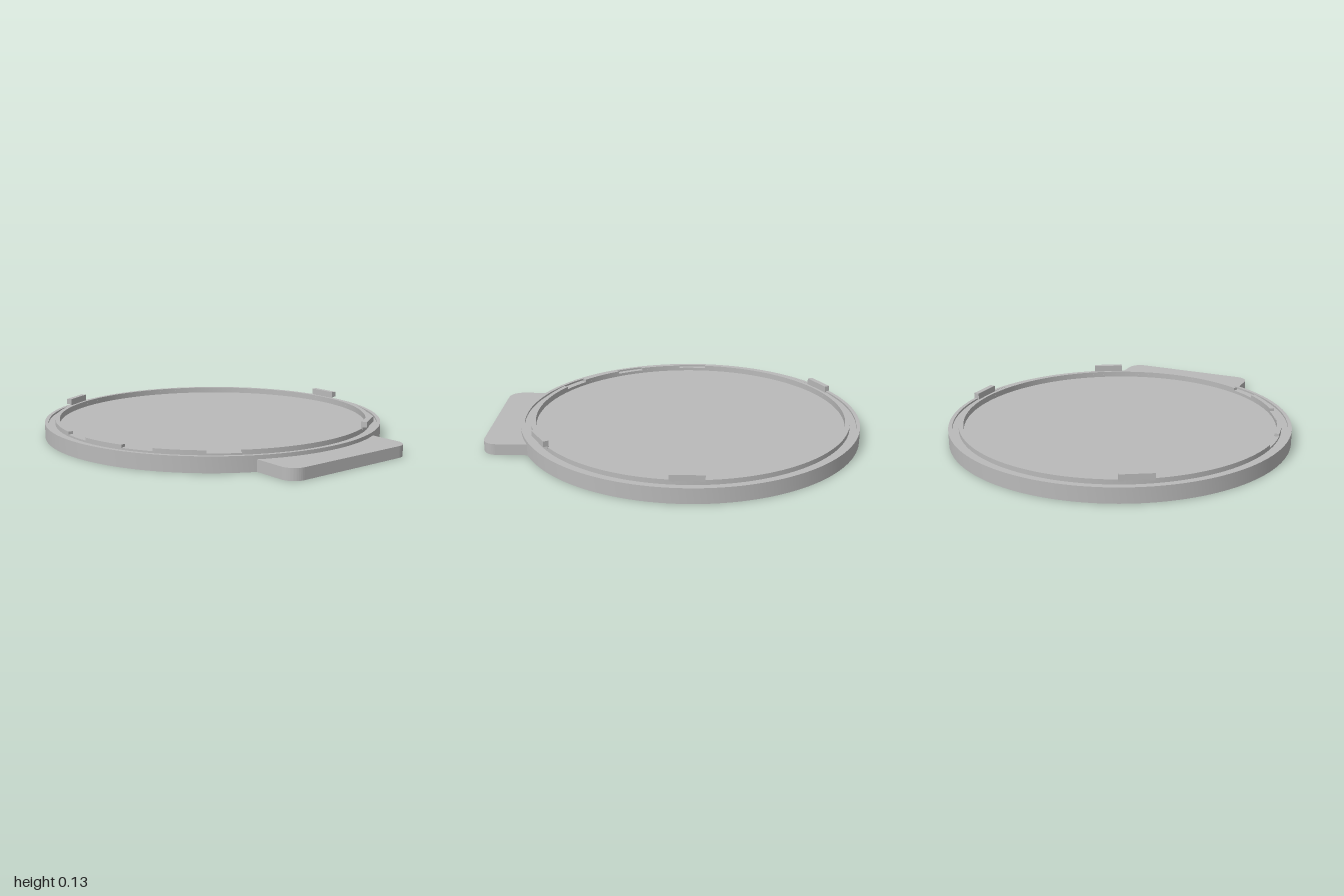
import * as THREE from 'three';
import { toCreasedNormals } from 'three/addons/utils/BufferGeometryUtils.js';

const CENTRE_Z = -0.075;
const RIM = 0.925, GROOVE = 0.905, LIP_OUT = 0.87, LIP_IN = 0.845;
const RIM_TOP = 0.08, LIP_TOP = 0.095, FLOOR = 0.063;
const rad = THREE.MathUtils.degToRad;

// Extrude a plan shape (x, z) downwards from the given top height
function slab(shape, top, height) {
  const geo = new THREE.ExtrudeGeometry(shape, { depth: height, bevelEnabled: false, curveSegments: 96 });
  geo.rotateX(Math.PI / 2);
  geo.translate(0, top, 0);
  return toCreasedNormals(geo, 0.5);
}

export function createModel() {
  const model = new THREE.Group();
  model.name = 'roundLid';
  const grey = new THREE.MeshStandardMaterial({ color: 0xbababa });
  grey.name = 'grey plastic';

  const lid = new THREE.Group();
  lid.name = 'lid';
  lid.position.z = CENTRE_Z;
  model.add(lid);

  const add = (parent, name, geo) => {
    const mesh = new THREE.Mesh(geo, grey);
    mesh.name = name;
    parent.add(mesh);
    return mesh;
  };

  // Disc with outer rim, shallow groove and recessed floor
  const profile = [
    [0, 0], [RIM, 0], [RIM, RIM_TOP], [GROOVE, RIM_TOP], [GROOVE, 0.07], [LIP_OUT, 0.07],
    [LIP_OUT, RIM_TOP], [LIP_IN, RIM_TOP], [LIP_IN, FLOOR], [0, FLOOR],
  ].map(([x, y]) => new THREE.Vector2(x, y));
  add(lid, 'disc', toCreasedNormals(new THREE.LatheGeometry(profile, 160), 0.5));

  // Raised inner lip, interrupted by three notches
  for (const [from, to] of [[185.6, 479], [130, 147], [158, 174.4]]) {
    const arc = new THREE.Shape();
    arc.absarc(0, 0, LIP_OUT, rad(from), rad(to), false);
    arc.absarc(0, 0, LIP_IN, rad(to), rad(from), true);
    add(lid, 'lipSegment', slab(arc, LIP_TOP, LIP_TOP - RIM_TOP));
  }

  // Three hooked clips around the lip
  for (const angle of [0, 60, 240]) {
    const clip = new THREE.Group();
    clip.name = 'clip';
    clip.rotation.y = -rad(angle);
    add(clip, 'clipPost', new THREE.BoxGeometry(0.008, 0.02, 0.17)).position.set(0.864, 0.095, 0);
    add(clip, 'clipHook', new THREE.BoxGeometry(0.03, 0.03, 0.17)).position.set(0.875, 0.115, 0);
    lid.add(clip);
  }

  // Finger tab with rounded front corners
  const w = 0.395, r = 0.075;
  const tab = new THREE.Shape();
  tab.moveTo(-w, 0.7);
  tab.lineTo(w, 0.7);
  tab.lineTo(w, 1 - r);
  tab.absarc(w - r, 1 - r, r, 0, Math.PI / 2, false);
  tab.absarc(-w + r, 1 - r, r, Math.PI / 2, Math.PI, false);
  tab.closePath();
  add(model, 'fingerTab', slab(tab, 0.06, 0.06));

  return model;
}
